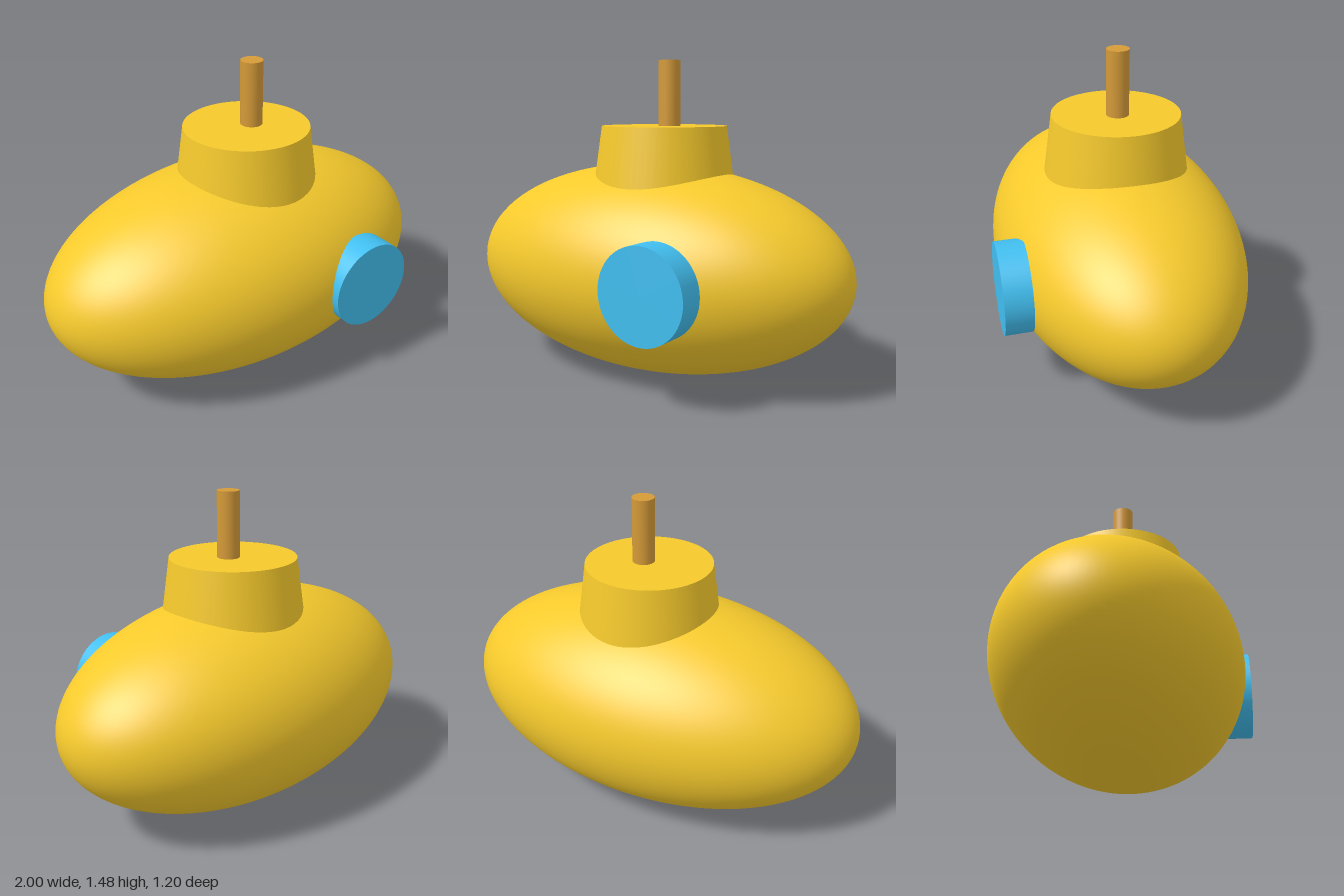
import * as THREE from 'three';

const paint = (color) => new THREE.MeshStandardMaterial({ color });

export function createModel() {
  const group = new THREE.Group();
  const yellow = paint(0xf5c92c);
  const bronze = paint(0xd49a38);
  const blue = paint(0x42bff0);
  const midZ = -0.016; // hull axis, offset by the protruding porthole

  const add = (name, geometry, material, x, y, z) => {
    const mesh = new THREE.Mesh(geometry, material);
    mesh.name = name;
    mesh.position.set(x, y, z);
    group.add(mesh);
    return mesh;
  };

  // Ellipsoid hull
  const hull = new THREE.SphereGeometry(1, 96, 64).scale(1, 0.498, 0.584);
  add('hull', hull, yellow, 0, 0.5, midZ);

  // Tapered tower, its foot sunk into the hull
  const towerTop = 1.18, towerFoot = 0.8;
  const tower = new THREE.CylinderGeometry(0.297, 0.35, towerTop - towerFoot, 64);
  add('tower', tower, yellow, 0.053, (towerTop + towerFoot) / 2, midZ);

  // Periscope mast
  const mastTop = 1.485, mastFoot = 1.1;
  const mast = new THREE.CylinderGeometry(0.052, 0.052, mastTop - mastFoot, 32);
  add('periscope', mast, bronze, 0.082, (mastTop + mastFoot) / 2, midZ);

  // Round porthole on the front flank
  const portFront = 0.6, portBack = 0.473;
  const port = new THREE.CylinderGeometry(0.211, 0.211, portFront - portBack, 64).rotateX(Math.PI / 2);
  add('porthole', port, blue, 0.338, 0.51, (portFront + portBack) / 2);

  return group;
}
